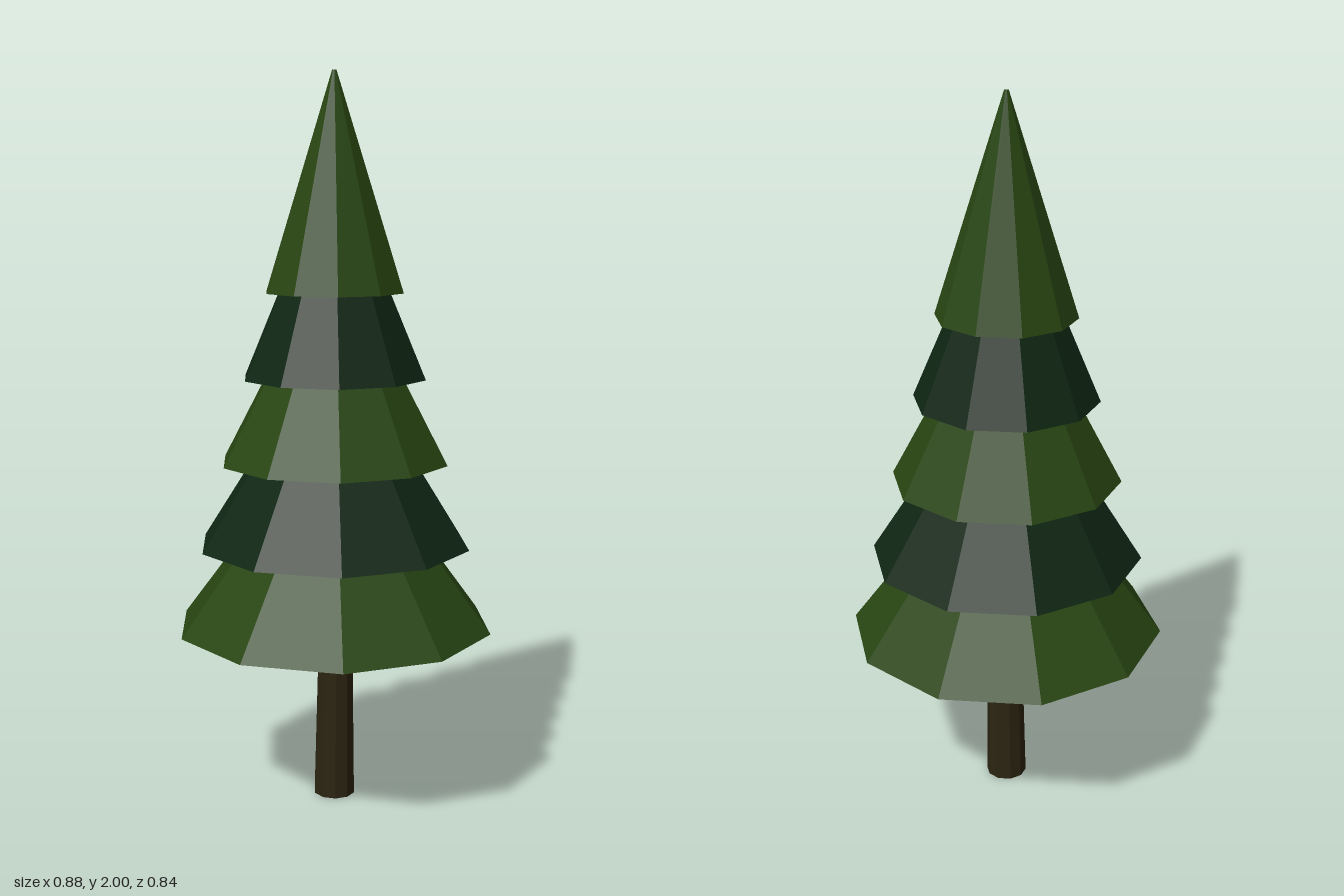
import * as THREE from 'three';

export function createModel() {
  const tree = new THREE.Group();
  tree.name = 'pineTree';

  const material = (name, color) => {
    const m = new THREE.MeshStandardMaterial({ color, flatShading: true });
    m.name = name;
    return m;
  };
  const lightGreen = material('lightGreen', 0x284512);
  const darkGreen = material('darkGreen', 0x0f2613);
  const bark = material('bark', 0x2b2411);

  const SIDES = 10;

  // Tapered ten-sided solid standing on its base, with corners on the x axis
  function addFrustum(name, topRadius, baseRadius, height, baseY, mat) {
    const geometry = new THREE.CylinderGeometry(topRadius, baseRadius, height, SIDES);
    geometry.rotateY(Math.PI / 2);
    geometry.translate(0, height / 2, 0);
    const mesh = new THREE.Mesh(geometry, mat);
    mesh.name = name;
    mesh.position.y = baseY;
    tree.add(mesh);
    return mesh;
  }

  // Trunk, leaning very slightly towards +x
  const trunk = addFrustum('trunk', 0.047, 0.058, 0.54, 0.001, bark);
  trunk.rotation.z = -0.013;

  // Five overlapping foliage tiers, shrinking upwards in alternating greens
  for (let i = 0; i < 5; i++) {
    addFrustum(`foliageTier${i + 1}`, 0.006, 0.44 - i * 0.0622, 0.58, 0.5 + i * 0.23,
      i % 2 ? darkGreen : lightGreen);
  }

  return tree;
}
